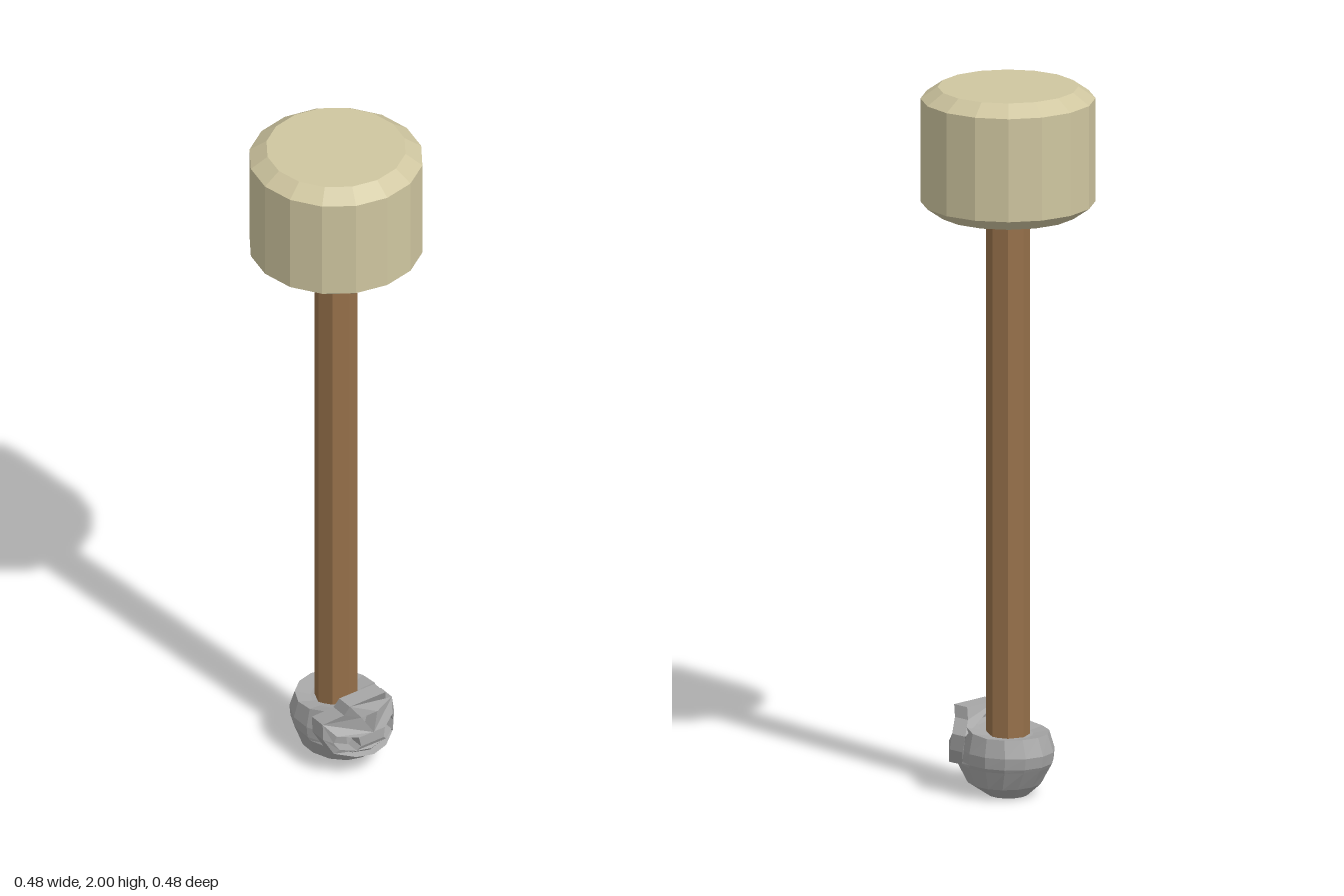
import * as THREE from 'three';

const mat = (name, color) => {
  const m = new THREE.MeshStandardMaterial({ color });
  m.name = name;
  m.flatShading = true;
  return m;
};

function addMesh(parent, name, geometry, material) {
  const mesh = new THREE.Mesh(geometry, material);
  mesh.name = name;
  parent.add(mesh);
  return mesh;
}

// Closed loft through horizontal rings: [y, half width, front z, back z, tilt]
function loft(rings, sides) {
  const pos = [], index = [];
  for (const [y, w, front, back, tilt = 0] of rings) {
    for (let i = 0; i < sides; i++) {
      const a = (i / sides) * Math.PI * 2;
      const z = Math.cos(a) * (Math.cos(a) > 0 ? front : -back);
      pos.push(Math.sin(a) * w, y + Math.max(0, z) * tilt, z);
    }
  }
  for (let j = 0; j < rings.length - 1; j++) {
    for (let i = 0; i < sides; i++) {
      const k = (i + 1) % sides, a = j * sides, b = a + sides;
      index.push(a + i, a + k, b + k, a + i, b + k, b + i);
    }
  }
  const last = (rings.length - 1) * sides, low = pos.length / 3;
  pos.push(0, rings[0][0], 0, 0, rings[rings.length - 1][0], 0);
  for (let i = 0; i < sides; i++) {
    const k = (i + 1) % sides;
    index.push(low, k, i, low + 1, last + i, last + k);
  }
  const g = new THREE.BufferGeometry();
  g.setAttribute('position', new THREE.Float32BufferAttribute(pos, 3));
  g.setIndex(index);
  const flat = g.toNonIndexed();
  flat.computeVertexNormals();
  return flat;
}

const points = (list) => list.map(([x, y]) => new THREE.Vector2(x, y));
const mirrored = (list) => list.map(([x, y]) => [-x, y]).reverse();

// Face plate with eye and nose openings, curved around the cranium
function faceGeometry() {
  const half = [[0.05, 0.078], [0.1, 0.088], [0.12, 0.13], [0.117, 0.175], [0.07, 0.208], [0.06, 0.24]];
  const shape = new THREE.Shape(points([[0, 0.075], ...half, ...mirrored(half)]));
  const eye = [[0.038, 0.112], [0.05, 0.1], [0.088, 0.102], [0.1, 0.122], [0.094, 0.146], [0.044, 0.142]];
  const nose = [[0, 0.148], [0.027, 0.195], [-0.027, 0.195]];
  for (const hole of [eye, mirrored(eye), nose]) shape.holes.push(new THREE.Path(points(hole)));

  const g = new THREE.ExtrudeGeometry(shape, { depth: 1, bevelEnabled: false });
  const p = g.attributes.position;
  for (let i = 0; i < p.count; i++) {
    const x = p.getX(i), y = p.getY(i);
    const dip = y < 0.15 ? 0 : y < 0.2 ? (y - 0.15) * 0.4 : Math.max(0.012, 0.02 - (y - 0.2) * 0.2);
    p.setZ(i, 0.178 - dip - 5 * x * x - 0.05 * (1 - p.getZ(i)));
  }
  g.computeVertexNormals();
  return g;
}

export function createModel() {
  const model = new THREE.Group();
  model.name = 'mallet';
  const paleWood = mat('pale wood', 0xcfc6a0);
  const brownWood = mat('brown wood', 0x96704a);
  const grey = mat('grey metal', 0xa6a6a6);

  // Sixteen-sided head with chamfered rims
  const profile = points([[0, 1.643], [0.193, 1.643], [0.24, 1.676], [0.24, 1.967], [0.193, 2], [0, 2]]);
  addMesh(model, 'malletHead', new THREE.LatheGeometry(profile, 16), paleWood);

  // Octagonal handle
  const handle = addMesh(model, 'handle', new THREE.CylinderGeometry(0.06, 0.06, 1.52, 8), brownWood);
  handle.position.y = 0.9;

  // Upside-down skull pommel
  const skull = new THREE.Group();
  skull.name = 'skullPommel';
  model.add(skull);
  addMesh(skull, 'cranium', loft([
    [0.002, 0.055, 0.06, -0.055],
    [0.035, 0.1, 0.125, -0.09],
    [0.088, 0.118, 0.166, -0.124],
    [0.098, 0.122, 0.14, -0.13],
    [0.13, 0.124, 0.135, -0.135],
    [0.18, 0.112, 0.125, -0.116, 0.2],
    [0.172, 0.07, 0.09, -0.07, 0.2],
  ], 14), grey);
  addMesh(skull, 'face', faceGeometry(), grey);
  return model;
}
